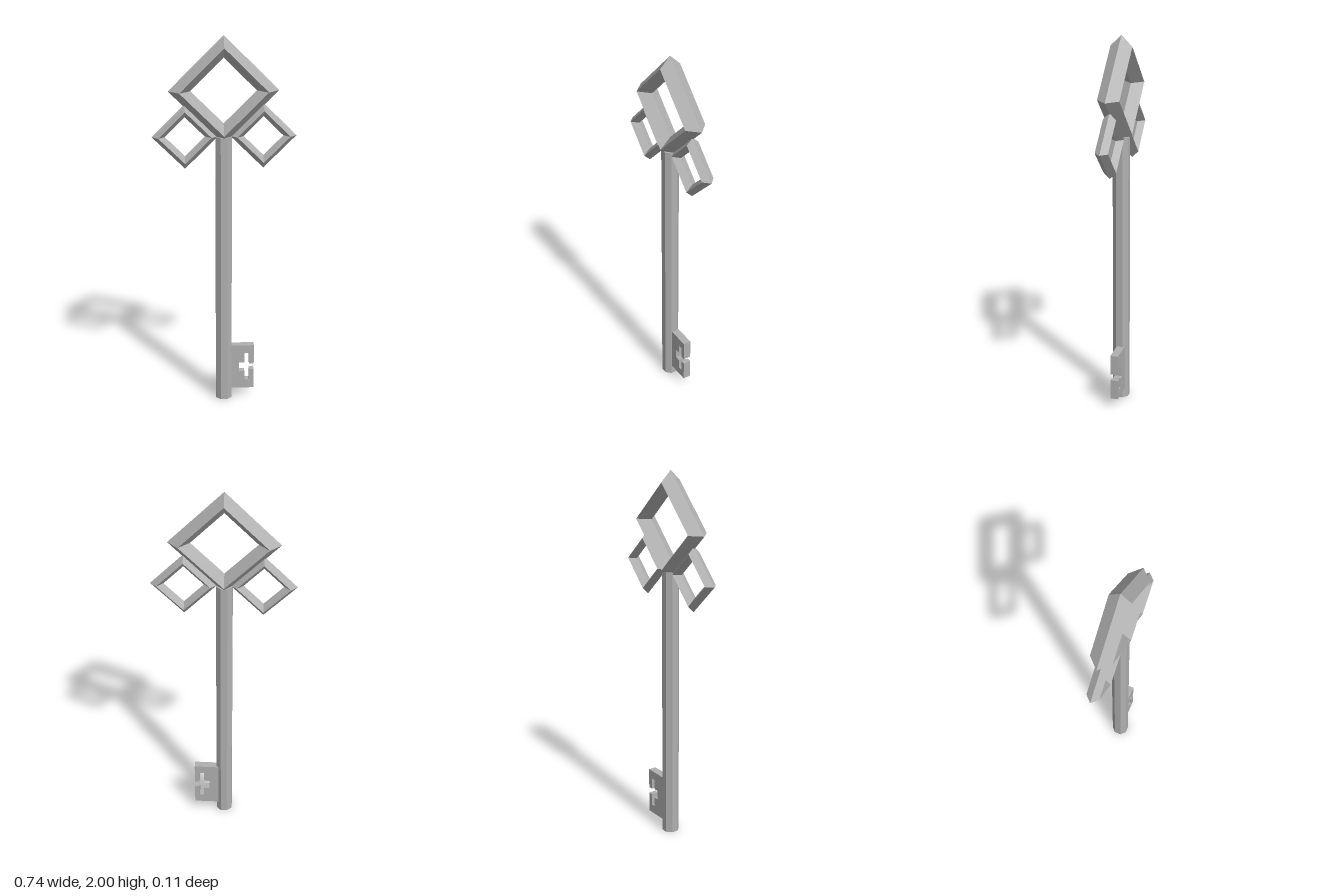
import * as THREE from 'three';

export function createModel() {
  const key = new THREE.Group();
  key.name = 'key';
  const metal = new THREE.MeshStandardMaterial({ color: 0xb0b0b0, flatShading: true });
  metal.name = 'grey metal';

  function add(name, geometry, x, y, z = 0) {
    const mesh = new THREE.Mesh(geometry, metal);
    mesh.name = name;
    mesh.position.set(x, y, z);
    key.add(mesh);
    return mesh;
  }

  const axis = -0.003;

  // Handle: one large and two small square rings with a diamond cross-section
  add('largeRing', new THREE.TorusGeometry(0.226, 0.057, 4, 4), axis, 1.717);
  for (const [name, side] of [['leftRing', 1], ['rightRing', -1]]) {
    add(name, new THREE.TorusGeometry(0.136, 0.034, 4, 4), side * 0.202, 1.48);
  }

  // Eight-sided shaft with flats facing the axes
  const shaft = new THREE.CylinderGeometry(0.0455, 0.0455, 1.48, 8);
  shaft.rotateY(Math.PI / 8);
  add('shaft', shaft, axis, 0.74);

  // Bit: flat plate with a cross-shaped cut open to the outer edge
  const outline = [
    [0.02, 0.053], [0.161, 0.053], [0.161, 0.163], [0.135, 0.163],
    [0.135, 0.1], [0.11, 0.1], [0.11, 0.152], [0.08, 0.152],
    [0.08, 0.205], [0.11, 0.205], [0.11, 0.26], [0.135, 0.26],
    [0.135, 0.197], [0.161, 0.197], [0.161, 0.307], [0.02, 0.307],
  ].map(([x, y]) => new THREE.Vector2(x, y));
  const bit = new THREE.ExtrudeGeometry(new THREE.Shape(outline), { depth: 0.042, bevelEnabled: false });
  add('bit', bit, 0, 0, -0.029);

  return key;
}
